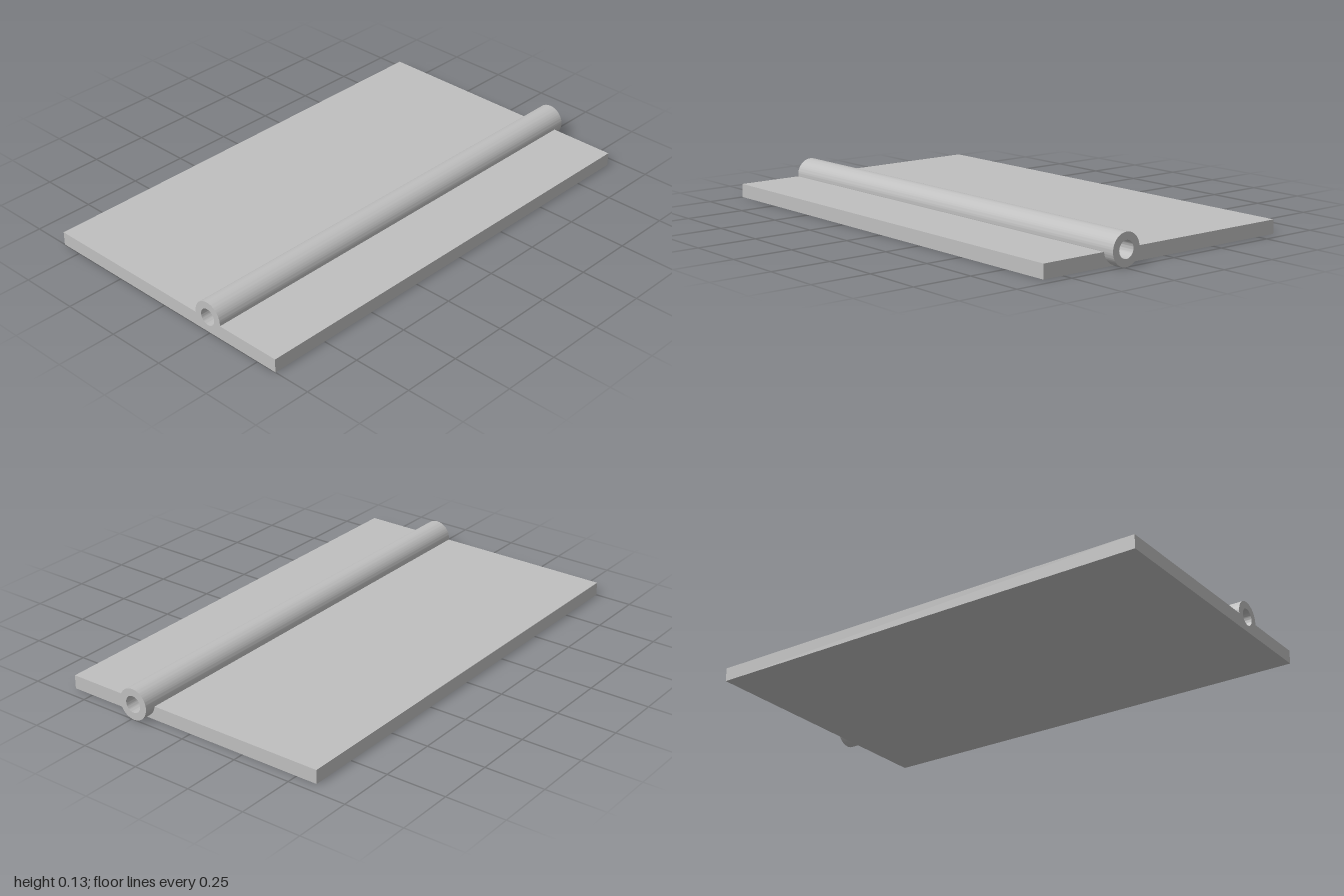
import * as THREE from 'three';
import { toCreasedNormals } from 'three/addons/utils/BufferGeometryUtils.js';

const AXIS_Z = 0.24, R_OUT = 0.065, R_IN = 0.035;
const HALF_DEPTH = 0.59, THICKNESS = 0.057;

// Extrude a side profile (drawn with -z to the right) along x
function extrudeAlongX(shape, x0, x1) {
  const geo = new THREE.ExtrudeGeometry(shape, { depth: x1 - x0, bevelEnabled: false, curveSegments: 48 });
  geo.rotateY(Math.PI / 2);
  geo.translate(x0, 0, 0);
  return toCreasedNormals(geo, Math.PI / 6);
}

export function createModel() {
  const group = new THREE.Group();
  const grey = new THREE.MeshStandardMaterial({ color: 0xbfbfbf });
  grey.name = 'grey';

  // Flat plate with a groove that keeps the tube's bore clear
  const grooveR = (R_OUT + R_IN) / 2;
  const a = Math.asin((THICKNESS - R_OUT) / grooveR);
  const plateShape = new THREE.Shape();
  plateShape.moveTo(-HALF_DEPTH, 0);
  plateShape.lineTo(HALF_DEPTH, 0);
  plateShape.lineTo(HALF_DEPTH, THICKNESS);
  plateShape.absarc(-AXIS_Z, R_OUT, grooveR, a, Math.PI - a, true);
  plateShape.lineTo(-HALF_DEPTH, THICKNESS);
  plateShape.closePath();
  const plate = new THREE.Mesh(extrudeAlongX(plateShape, -1, 0.953), grey);
  plate.name = 'plate';

  // Hollow tube, flush at one end and projecting at the other
  const tubeShape = new THREE.Shape();
  tubeShape.absarc(-AXIS_Z, R_OUT, R_OUT, 0, Math.PI * 2, false);
  const bore = new THREE.Path();
  bore.absarc(-AXIS_Z, R_OUT, R_IN, 0, Math.PI * 2, true);
  tubeShape.holes.push(bore);
  const tube = new THREE.Mesh(extrudeAlongX(tubeShape, -1, 1), grey);
  tube.name = 'tube';

  group.add(plate, tube);
  return group;
}
